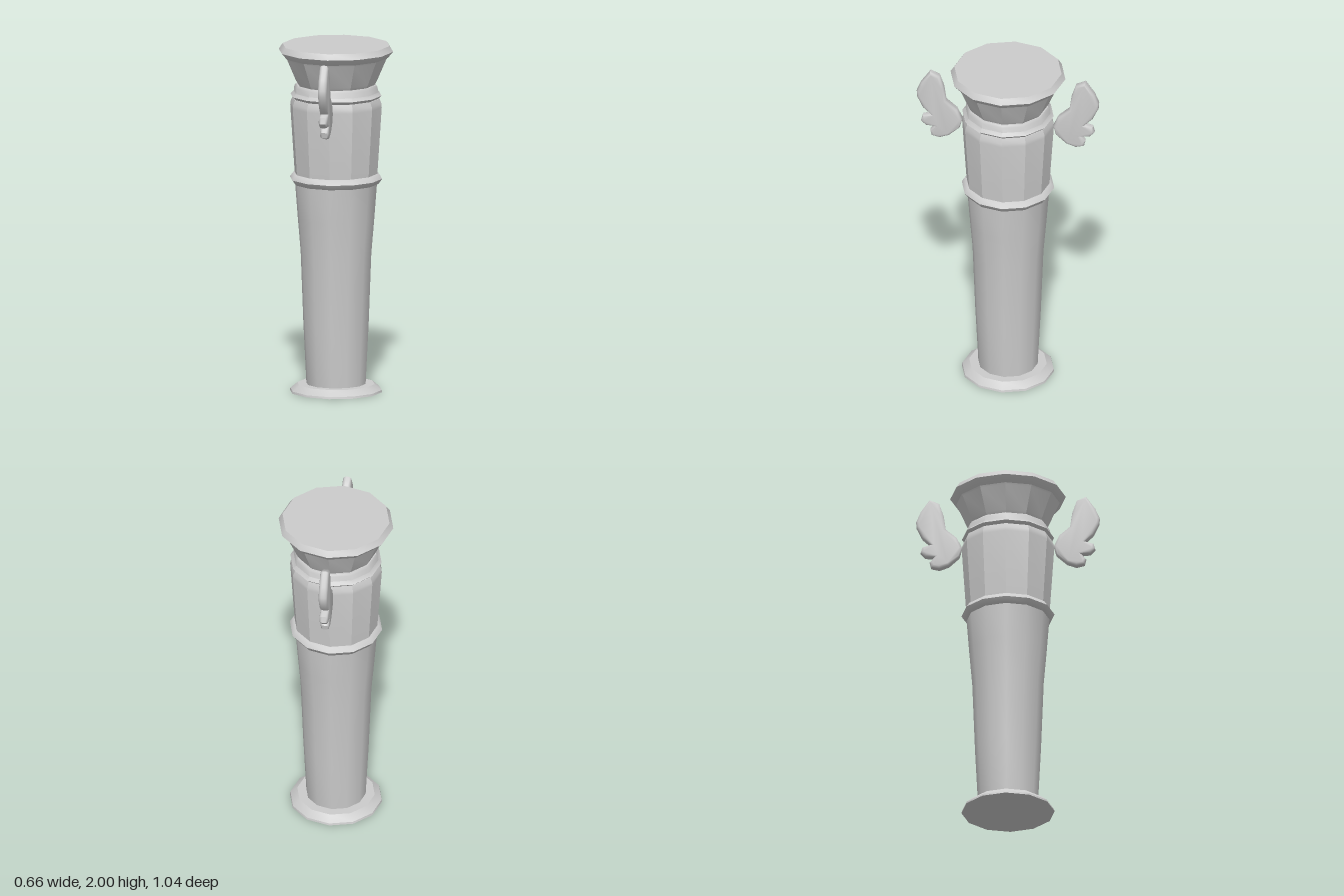
import * as THREE from 'three';
import { toCreasedNormals } from 'three/addons/utils/BufferGeometryUtils.js';

const SIDES = 12;
const material = new THREE.MeshStandardMaterial({ color: 0xcccccc, side: THREE.DoubleSide });

// Twelve-sided turned part from [radius, height] pairs, bottom to top
function turned(name, profile, creaseDegrees) {
  const points = profile.map(([r, y]) => new THREE.Vector2(r, y));
  const lathe = new THREE.LatheGeometry(points, SIDES);
  const geometry = toCreasedNormals(lathe, THREE.MathUtils.degToRad(creaseDegrees));
  const mesh = new THREE.Mesh(geometry, material);
  mesh.name = name;
  return mesh;
}

// Flat feathered wing with rounded edges, lying in the z-y plane
function wingGeometry() {
  const outline = [
    [0.445, 1.96], [0.39, 1.935], [0.365, 1.86], [0.353, 1.775], [0.29, 1.72],
    [0.26, 1.655], [0.275, 1.6], [0.335, 1.545], [0.39, 1.525], [0.437, 1.537],
    [0.445, 1.57], [0.42, 1.598], [0.47, 1.602], [0.497, 1.63], [0.487, 1.665],
    [0.442, 1.678], [0.487, 1.72], [0.52, 1.79], [0.522, 1.825], [0.497, 1.885],
  ].map(([z, y]) => new THREE.Vector2(z, y));
  const geometry = new THREE.ExtrudeGeometry(new THREE.Shape(outline), {
    depth: 0.014, bevelThickness: 0.018, bevelSize: 0.016, bevelOffset: -0.016, bevelSegments: 3,
  });
  geometry.translate(0, 0, -0.007).rotateY(-Math.PI / 2);
  return toCreasedNormals(geometry, THREE.MathUtils.degToRad(50));
}

export function createModel() {
  const model = new THREE.Group();
  model.name = 'wingedColumn';

  // Foot and tapering shaft
  model.add(turned('base', [[0, 0], [0.265, 0], [0.262, 0.012], [0.222, 0.045], [0, 0.045]], 35));
  model.add(turned('shaft', [[0.17, 0.04], [0.188, 0.4], [0.203, 0.8], [0.22, 1.0], [0.236, 1.21]], 35));

  // Faceted drum between two rings
  model.add(turned('lowerRing', [[0.22, 1.2], [0.245, 1.203], [0.265, 1.232], [0.245, 1.26], [0.22, 1.262]], 65));
  model.add(turned('drum', [[0.237, 1.25], [0.263, 1.645], [0.262, 1.665], [0.25, 1.695], [0.21, 1.697]], 20));
  model.add(turned('upperRing', [[0.21, 1.69], [0.242, 1.692], [0.262, 1.712], [0.243, 1.73], [0.239, 1.76], [0.23, 1.772], [0.19, 1.773]], 45));

  // Flared capital with a bevelled lip and flat top
  model.add(turned('capital', [[0.215, 1.765], [0.232, 1.79], [0.288, 1.92], [0.297, 1.935]], 20));
  model.add(turned('capitalLip', [[0.28, 1.925], [0.298, 1.932], [0.329, 1.967], [0.307, 2.0], [0, 2.0]], 35));

  // Front and back wings
  const wing = wingGeometry();
  ['frontWing', 'backWing'].forEach((name, i) => {
    const mesh = new THREE.Mesh(wing, material);
    mesh.name = name;
    mesh.rotation.y = i * Math.PI;
    model.add(mesh);
  });
  return model;
}
